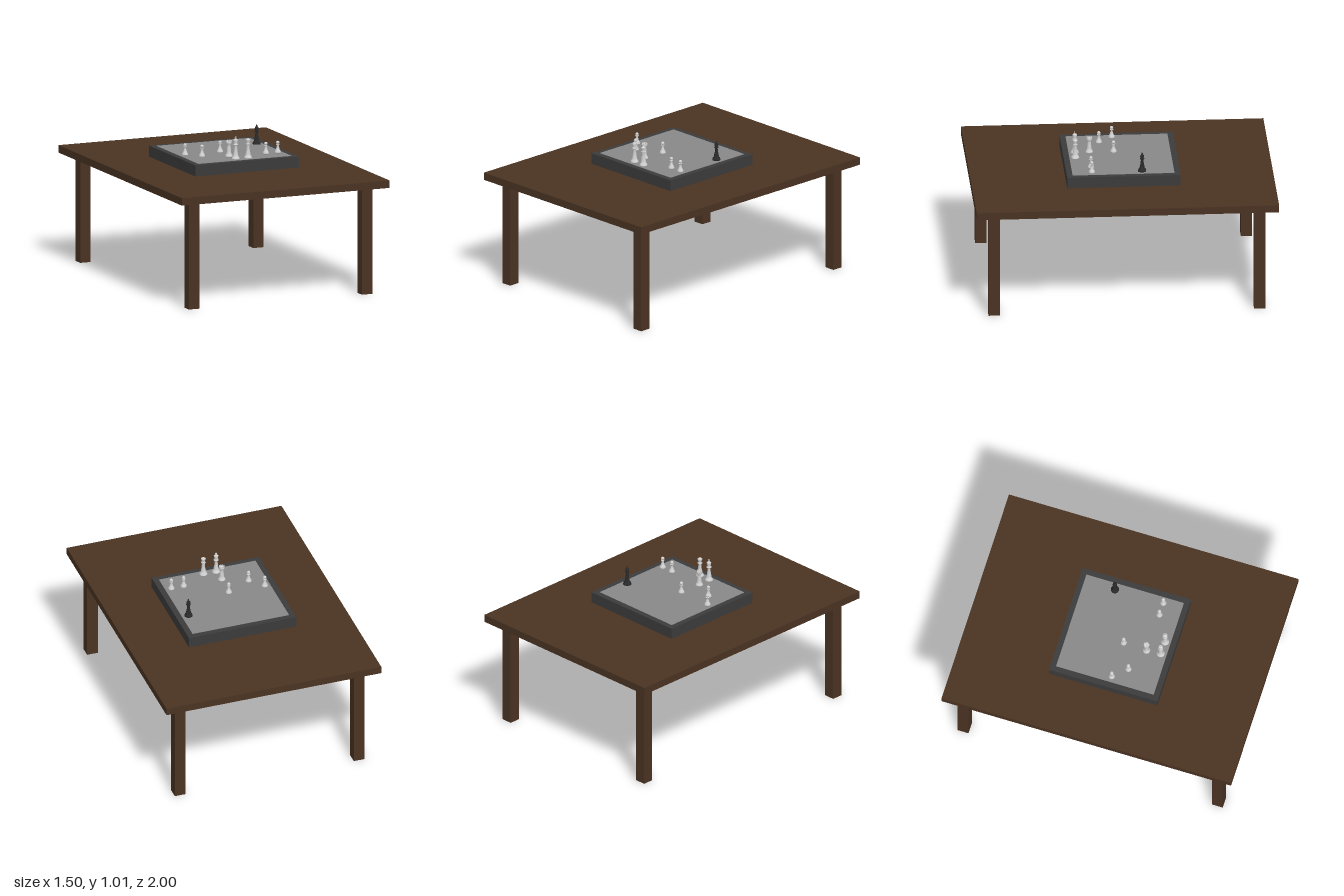
import * as THREE from 'three';

const mat = (name, color) => {
  const m = new THREE.MeshStandardMaterial({ color });
  m.name = name;
  return m;
};

export function createModel() {
  const wood = mat('dark wood', 0x4a3322);
  const frameMat = mat('charcoal frame', 0x3b3b3b);
  const fieldMat = mat('grey field', 0x888888);
  const white = mat('pale pieces', 0xd2d2d2);
  const black = mat('dark pieces', 0x2a2a2a);
  const model = new THREE.Group();
  model.name = 'chessTable';

  const box = (name, size, pos, material, parent = model) => {
    const m = new THREE.Mesh(new THREE.BoxGeometry(...size), material);
    m.name = name;
    m.position.set(...pos);
    parent.add(m);
    return m;
  };

  // Table
  box('tableTop', [1.5, 0.05, 2], [0, 0.745, 0], wood);
  for (const x of [-1, 1]) for (const z of [-1, 1])
    box('tableLeg', [0.075, 0.72, 0.075], [x * 0.625, 0.36, z * 0.878], wood);

  // Board with its playing field, just clear of the table
  box('boardFrame', [0.75, 0.074, 0.75], [0, 0.812, 0], frameMat);
  box('playingField', [0.674, 0.004, 0.674], [0, 0.849, 0], fieldMat);

  // Turned foot shared by all pieces, given base radius r: [radius, height]
  const foot = r => [[0, 0], [r, 0], [r, 0.006], [r * 0.88, 0.01], [r * 0.9, 0.014], [r * 0.66, 0.02]];
  const ball = (r, y, n = 8) => Array.from({ length: n + 1 }, (_, i) => {
    const a = -1.1 + (i / n) * (Math.PI / 2 + 1.1);
    return [i === n ? 0 : r * Math.cos(a), y + r * Math.sin(a)];
  });
  const profiles = {
    pawn: [...foot(0.021), [0.009, 0.036], [0.0065, 0.052], [0.012, 0.055], [0.012, 0.058],
      [0.006, 0.06], ...ball(0.0115, 0.069)],
    rook: [...foot(0.025), [0.015, 0.034], [0.012, 0.07], [0.012, 0.083], [0.018, 0.088],
      [0.019, 0.102], [0.013, 0.102], [0.013, 0.096], [0, 0.096]],
    bishop: [...foot(0.027), [0.016, 0.03], [0.011, 0.055], [0.008, 0.082], [0.015, 0.086],
      [0.015, 0.089], [0.009, 0.092], [0.013, 0.102], [0.012, 0.11], [0.005, 0.121],
      [0.005, 0.126], [0.003, 0.13], [0, 0.131]],
    queen: [...foot(0.027), [0.017, 0.03], [0.012, 0.055], [0.01, 0.09], [0.016, 0.094],
      [0.016, 0.097], [0.01, 0.101], [0.012, 0.112], [0.017, 0.126], [0.012, 0.127],
      [0.006, 0.131], [0.004, 0.136], [0, 0.137]],
    king: [...foot(0.027), [0.017, 0.03], [0.012, 0.055], [0.01, 0.092], [0.017, 0.096],
      [0.017, 0.1], [0.011, 0.104], [0.012, 0.115], [0.016, 0.13], [0.011, 0.136], [0, 0.139]],
  };

  const addPiece = (kind, x, z, material) => {
    const piece = new THREE.Group();
    piece.name = kind;
    piece.position.set(x, 0.851, z);
    const points = profiles[kind].map(p => new THREE.Vector2(...p));
    const body = new THREE.Mesh(new THREE.LatheGeometry(points, 24), material);
    body.name = kind + 'Body';
    piece.add(body);
    if (kind === 'king') {
      // Cross finial
      box('crossUpright', [0.004, 0.02, 0.004], [0, 0.146, 0], material, piece);
      box('crossArm', [0.012, 0.004, 0.004], [0, 0.148, 0], material, piece);
    }
    if (kind === 'rook') {
      // Battlements
      for (let i = 0; i < 6; i++) {
        const a = (i / 6) * Math.PI * 2;
        const b = box('battlement', [0.006, 0.008, 0.01],
          [Math.cos(a) * 0.0155, 0.105, Math.sin(a) * 0.0155], material, piece);
        b.rotation.y = -a;
      }
    }
    model.add(piece);
  };

  // Pieces left in play
  for (const [x, z] of [[-0.297, 0.035], [-0.215, 0.125], [-0.047, 0.04], [0.21, 0.207], [0.296, 0.207]])
    addPiece('pawn', x, z, white);
  addPiece('rook', -0.054, 0.2, white);
  addPiece('king', -0.048, 0.296, white);
  addPiece('queen', 0.04, 0.299, white);
  addPiece('bishop', 0.292, -0.126, black);

  return model;
}
